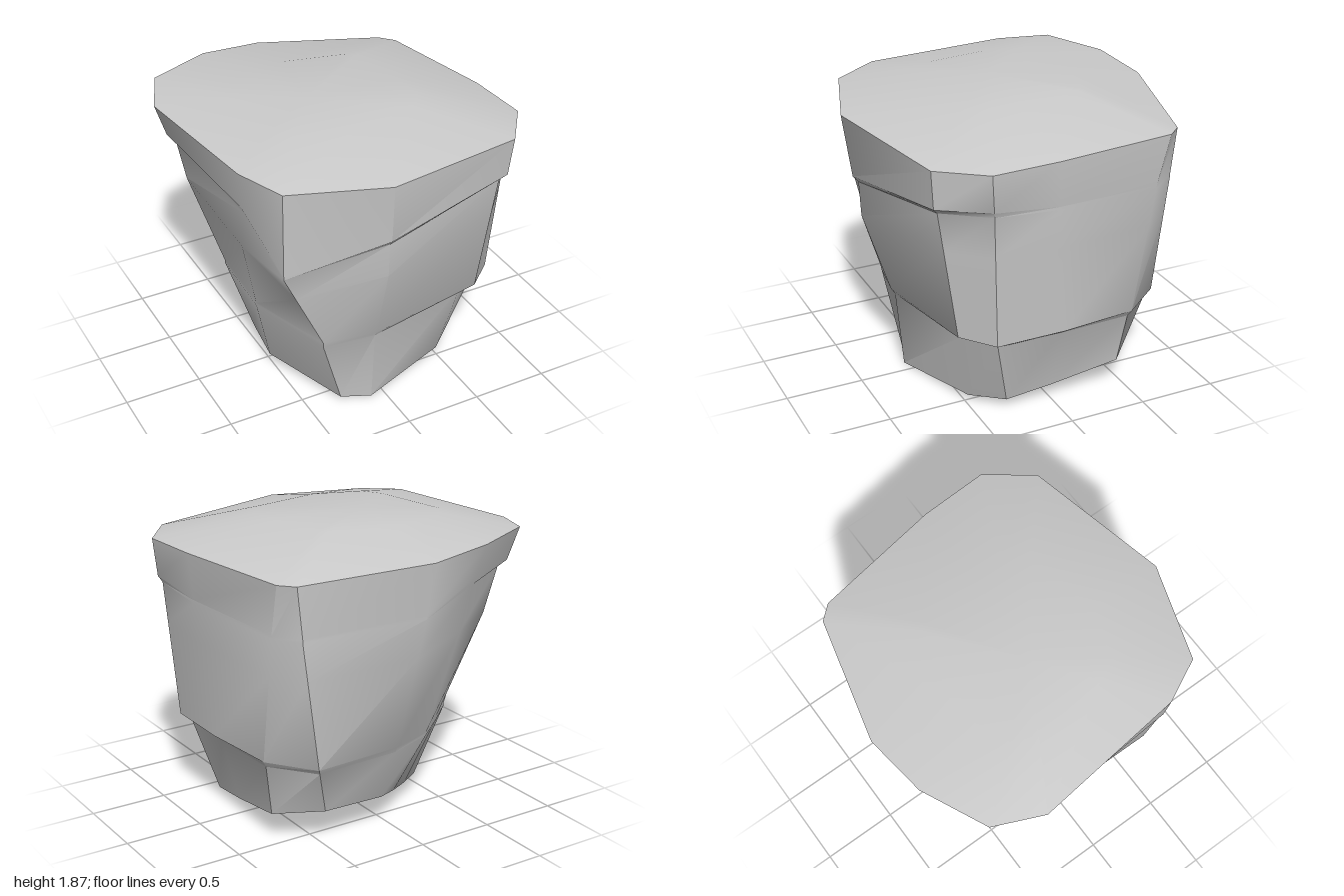
import * as THREE from 'three';
import { toCreasedNormals } from 'three/addons/utils/BufferGeometryUtils.js';

// Outlines run from the front -x corner, past the front and +x, around the back.
const foot = [
  [-0.28, 0.03, 0.61], [-0.09, 0.01, 0.67], [0.51, 0.05, 0.48], [0.69, 0.07, 0.3],
  [0.71, 0.11, 0], [0.74, 0.19, -0.45], [0.48, 0.22, -0.65], [0.05, 0.2, -0.63],
  [-0.12, 0.16, -0.52], [-0.3, 0.12, -0.39], [-0.48, 0.09, -0.25], [-0.52, 0.09, 0.07]];
const shelf = [
  [-0.44, 0.57, 0.68], [-0.1, 0.57, 0.74], [0.69, 0.59, 0.62], [0.88, 0.58, 0.45],
  [0.88, 0.58, 0], [0.82, 0.57, -0.5], [0.6, 0.56, -0.77], [0.02, 0.57, -0.75],
  [-0.27, 0.57, -0.65], [-0.46, 0.58, -0.5], [-0.62, 0.6, -0.37], [-0.64, 0.6, 0.15]];
const lip = [
  [-0.73, 1.2, 0.75], [-0.13, 1.38, 0.95], [0.76, 1.49, 0.79], [0.97, 1.5, 0.51],
  [0.95, 1.45, 0.08], [0.83, 1.4, -0.63], [0.72, 1.4, -0.79], [-0.04, 1.45, -0.94],
  [-0.42, 1.6, -0.89], [-0.81, 1.62, -0.72], [-0.94, 1.61, -0.43], [-0.87, 1.58, 0.51]];
const rim = [
  [-0.75, 1.79, 0.8], [-0.15, 1.78, 1], [0.78, 1.74, 0.81], [0.99, 1.74, 0.53],
  [0.97, 1.74, 0.1], [0.84, 1.72, -0.71], [0.76, 1.72, -0.8], [-0.05, 1.78, -1],
  [-0.46, 1.82, -0.95], [-0.87, 1.83, -0.76], [-1, 1.81, -0.45], [-0.89, 1.82, 0.52]];

// How far each corner steps in under the shelf and under the lip, and bulges between.
const shelfStep = [0.01, 0.035, 0.1, 0.07, 0.06, 0.03, 0.04, 0.03, 0, 0, 0, 0];
const lipStep = [0, 0.035, 0.045, 0.025, 0, 0, 0, 0, 0.015, 0.05, 0.05, 0.015];
const bulge = [0, 0.05, 0, 0, 0, 0, 0, 0, 0.02, 0.03, 0.03, 0.06];

const stepIn = (ring, steps, drop) => ring.map(([x, y, z], i) =>
  [x * (1 - steps[i]), y - (steps[i] ? drop : 0.02), z * (1 - steps[i])]);

const blend = (a, b, t) => a.map((p, i) => p.map((v, k) => {
  const m = v + (b[i][k] - v) * t;
  return k === 1 ? m : m * (1 + bulge[i]);
}));

// Skins stacked outlines and closes them with fans to a lowest and a highest point.
function loft(rings, bottom, top) {
  const n = rings[0].length;
  const points = [...rings.flat(), bottom, top];
  const low = points.length - 2, high = points.length - 1, last = (rings.length - 1) * n;
  const index = [];
  for (let i = 0; i < n; i++) {
    const j = (i + 1) % n;
    for (let r = 0; r < last; r += n) {
      index.push(r + i, r + j, r + n + j, r + i, r + n + j, r + n + i);
    }
    index.push(j, i, low, last + i, last + j, high);
  }
  const geometry = new THREE.BufferGeometry();
  geometry.setAttribute('position', new THREE.Float32BufferAttribute(points.flat(), 3));
  geometry.setIndex(index);
  return toCreasedNormals(geometry, 0.55);
}

export function createModel() {
  const group = new THREE.Group();
  group.name = 'rock';

  const underShelf = stepIn(shelf, shelfStep, 0.04);
  const underLip = stepIn(lip, lipStep, 0.04);
  const middle = blend(shelf, underLip, 0.7);
  // Gently domed top
  const crown = rim.map(([x, , z]) => [-0.2 + (x + 0.2) * 0.52, 1.88, z * 0.5]);

  const material = new THREE.MeshStandardMaterial({ color: 0xcccccc });
  const body = new THREE.Mesh(
    loft([foot, underShelf, shelf, middle, underLip, lip, rim, crown],
      [0.03, 0.02, 0.15], [-0.2, 1.88, 0]), material);
  body.name = 'rockBody';
  group.add(body);
  return group;
}
